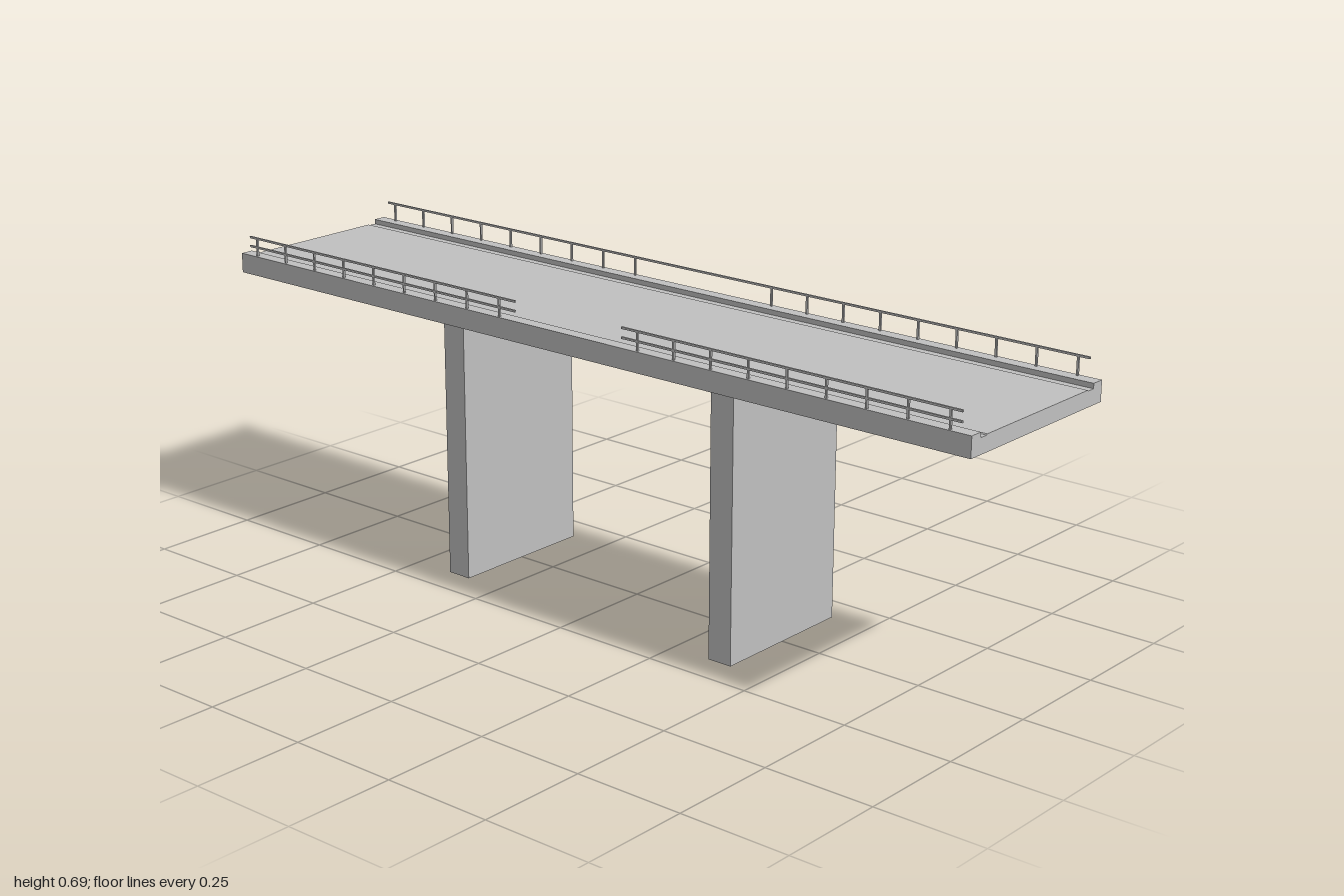
import * as THREE from 'three';

export function createModel() {
  const bridge = new THREE.Group();
  bridge.name = 'bridge';
  const concrete = new THREE.MeshStandardMaterial({ color: 0xc0c0c0 });
  concrete.name = 'light grey';

  // Box given by its lower and upper corners
  function box(name, parent, [x0, y0, z0], [x1, y1, z1]) {
    const mesh = new THREE.Mesh(new THREE.BoxGeometry(x1 - x0, y1 - y0, z1 - z0), concrete);
    mesh.position.set((x0 + x1) / 2, (y0 + y1) / 2, (z0 + z1) / 2);
    mesh.name = name;
    parent.add(mesh);
  }

  // Deck: cross-section with a slightly raised roadway, run along x
  const section = new THREE.Shape([
    [-0.225, 0.6], [0.225, 0.6], [0.225, 0.634], [0.176, 0.634], [0.174, 0.636],
    [-0.174, 0.636], [-0.176, 0.634], [-0.225, 0.634],
  ].map(([z, y]) => new THREE.Vector2(z, y)));
  const deckGeometry = new THREE.ExtrudeGeometry(section, { depth: 2, bevelEnabled: false });
  deckGeometry.translate(0, 0, -1).rotateY(Math.PI / 2);
  const deck = new THREE.Mesh(deckGeometry, concrete);
  deck.name = 'deck';
  bridge.add(deck);

  // Wall piers
  box('leftPier', bridge, [0.345, 0, -0.174], [0.403, 0.6, 0.174]);
  box('rightPier', bridge, [-0.403, 0, -0.174], [-0.345, 0.6, 0.174]);

  // Kerbs and railings along both edges
  for (const side of [1, -1]) {
    const edge = side > 0 ? 'front' : 'back';
    const zKerb = side * 0.21, z = side * 0.2185, r = 0.0022;
    box(edge + 'Kerb', bridge, [-1, 0.634, zKerb - 0.015], [1, 0.645, zKerb + 0.015]);

    const railing = new THREE.Group();
    railing.name = edge + 'Railing';
    bridge.add(railing);
    const rail = (x0, x1, y) =>
      box('rail', railing, [x0, y - r, z - r], [x1, y + r, z + r]);

    if (side > 0) {
      // The front railing is open in the middle and has two rails
      for (const y of [0.686, 0.665]) {
        rail(-0.975, -0.147, y);
        rail(0.147, 0.975, y);
      }
    } else {
      rail(-0.975, 0.975, 0.686);
    }

    // Posts in two runs
    for (const start of [-0.952, 0.19]) {
      for (let i = 0; i < 9; i++) {
        const x = start + i * 0.0948;
        box('post', railing, [x - r, 0.645, z - r], [x + r, 0.686, z + r]);
      }
    }
  }
  return bridge;
}
